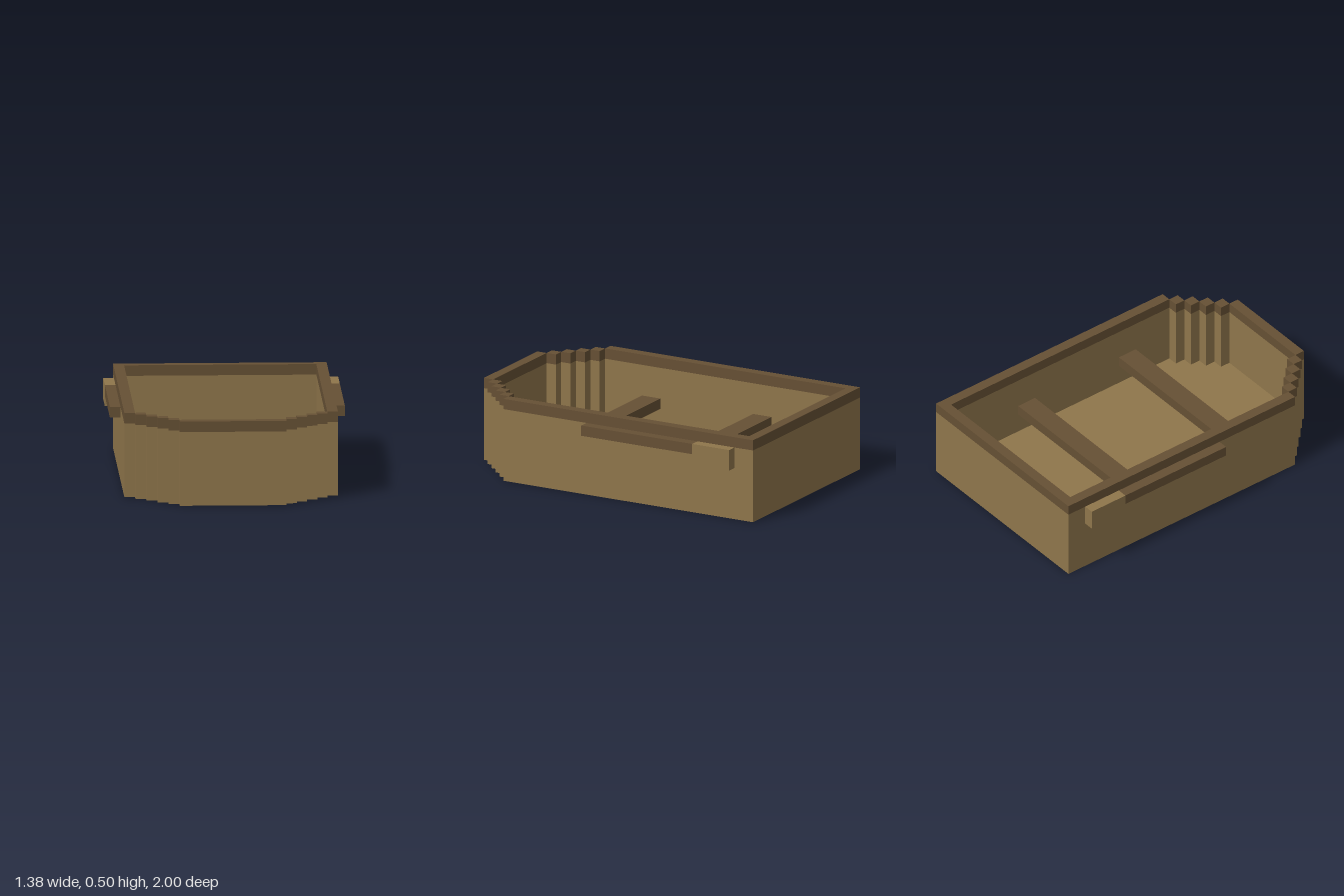
import * as THREE from 'three';

const U = 1 / 16; // one block unit

export function createModel() {
  const plank = new THREE.MeshStandardMaterial({ color: 0x8f764b });
  plank.name = 'light plank';
  const trim = new THREE.MeshStandardMaterial({ color: 0x665034 });
  trim.name = 'dark trim';

  const boat = new THREE.Group();
  boat.name = 'boat';

  // Box between two corners, measured in block units
  function block(name, material, [x0, y0, z0], [x1, y1, z1], parent = boat) {
    const mesh = new THREE.Mesh(
      new THREE.BoxGeometry((x1 - x0) * U, (y1 - y0) * U, (z1 - z0) * U), material);
    mesh.position.set((x0 + x1) * U / 2, (y0 + y1) * U / 2, (z0 + z1) * U / 2);
    mesh.name = name;
    parent.add(mesh);
  }

  // Wall with a dark gunwale along its top
  function wall(name, x0, x1, z0, z1) {
    const group = new THREE.Group();
    group.name = name;
    block(name + 'Planks', plank, [x0, 0, z0], [x1, 7, z1], group);
    block(name + 'Gunwale', trim, [x0, 7, z0], [x1, 8, z1], group);
    boat.add(group);
  }

  // Floor following the stepped inside of the hull
  const half = [[9, -15], [9, 11]];
  for (let i = 0; i < 4; i++) half.push([8 - i, 11 + i], [8 - i, 12 + i]);
  const outline = [...half, ...half.map(([x, z]) => [-x, z]).reverse()];
  const floorGeometry = new THREE.ExtrudeGeometry(
    new THREE.Shape(outline.map(([x, z]) => new THREE.Vector2(x * U, z * U))),
    { depth: U, bevelEnabled: false });
  floorGeometry.rotateX(Math.PI / 2).translate(0, U, 0);
  const floor = new THREE.Mesh(floorGeometry, plank);
  floor.name = 'floor';
  boat.add(floor);

  // Stern and bow
  wall('stern', -10, 10, -16, -15);
  wall('bow', -5, 5, 15, 16);

  for (const [side, s] of [['left', 1], ['right', -1]]) {
    const span = (a, b) => (s > 0 ? [a, b] : [-b, -a]);
    // Side wall and the stepped bow corner
    wall(side + 'Wall', ...span(9, 10), -15, 11);
    for (let i = 0; i < 4; i++) {
      wall(side + 'BowStep' + (i + 1), ...span(8 - i, 9 - i), 11 + i, 12 + i);
    }
    // Oar stowed along the outside: dark shaft and light blade
    const [x0, x1] = span(10, 11);
    block(side + 'OarShaft', trim, [x0, 6, -10], [x1, 7, 2]);
    block(side + 'OarBlade', plank, [x0, 5, -14], [x1, 7, -10]);
  }

  // Bench seats
  block('rearBench', trim, [-9, 3, -7], [9, 4, -5]);
  block('frontBench', trim, [-9, 3, 5], [9, 4, 7]);

  return boat;
}
